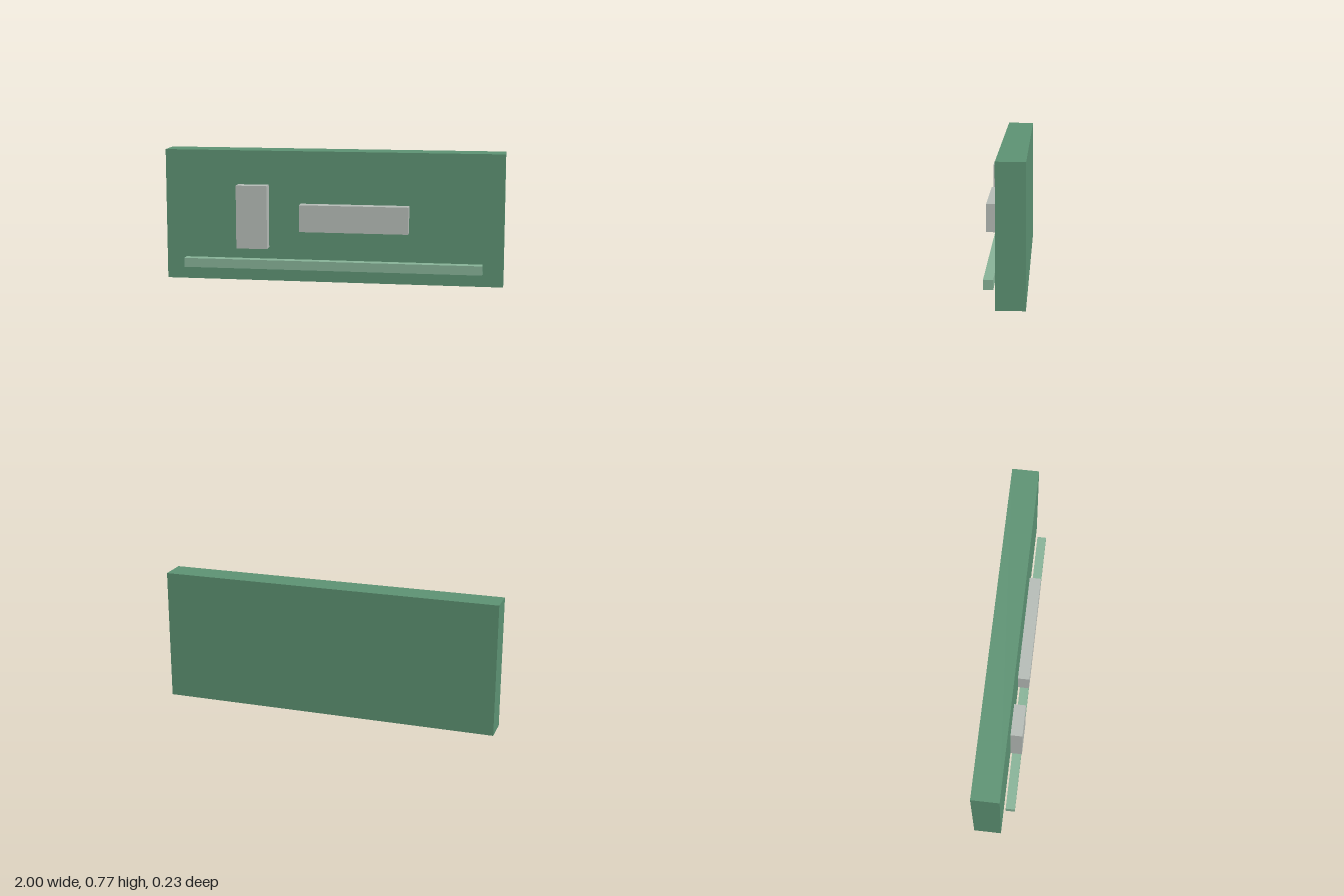
import * as THREE from 'three';

function material(name, color) {
  const m = new THREE.MeshStandardMaterial({ color });
  m.name = name;
  return m;
}

// Box given by its lower and upper limits on each axis
function block(name, mat, [x0, x1], [y0, y1], [z0, z1]) {
  const mesh = new THREE.Mesh(new THREE.BoxGeometry(x1 - x0, y1 - y0, z1 - z0), mat);
  mesh.position.set((x0 + x1) / 2, (y0 + y1) / 2, (z0 + z1) / 2);
  mesh.name = name;
  return mesh;
}

export function createModel() {
  const green = material('board green', 0x5c9172);
  const paleGreen = material('pale green', 0x86b196);
  const grey = material('light grey', 0xb4bab5);

  const model = new THREE.Group();
  model.name = 'wallBoard';
  model.add(
    // Main slab
    block('board', green, [-1, 1], [0, 0.775], [-0.117, 0.042]),
    // Long ledge, set just clear of the board
    block('ledge', paleGreen, [-0.88, 0.88], [0.081, 0.135], [0.057, 0.111]),
    // Upright and wide panels on the front
    block('uprightPanel', grey, [-0.561, -0.377], [0.202, 0.575], [0.05, 0.117]),
    block('widePanel', grey, [-0.186, 0.452], [0.309, 0.467], [0.05, 0.117])
  );
  return model;
}
